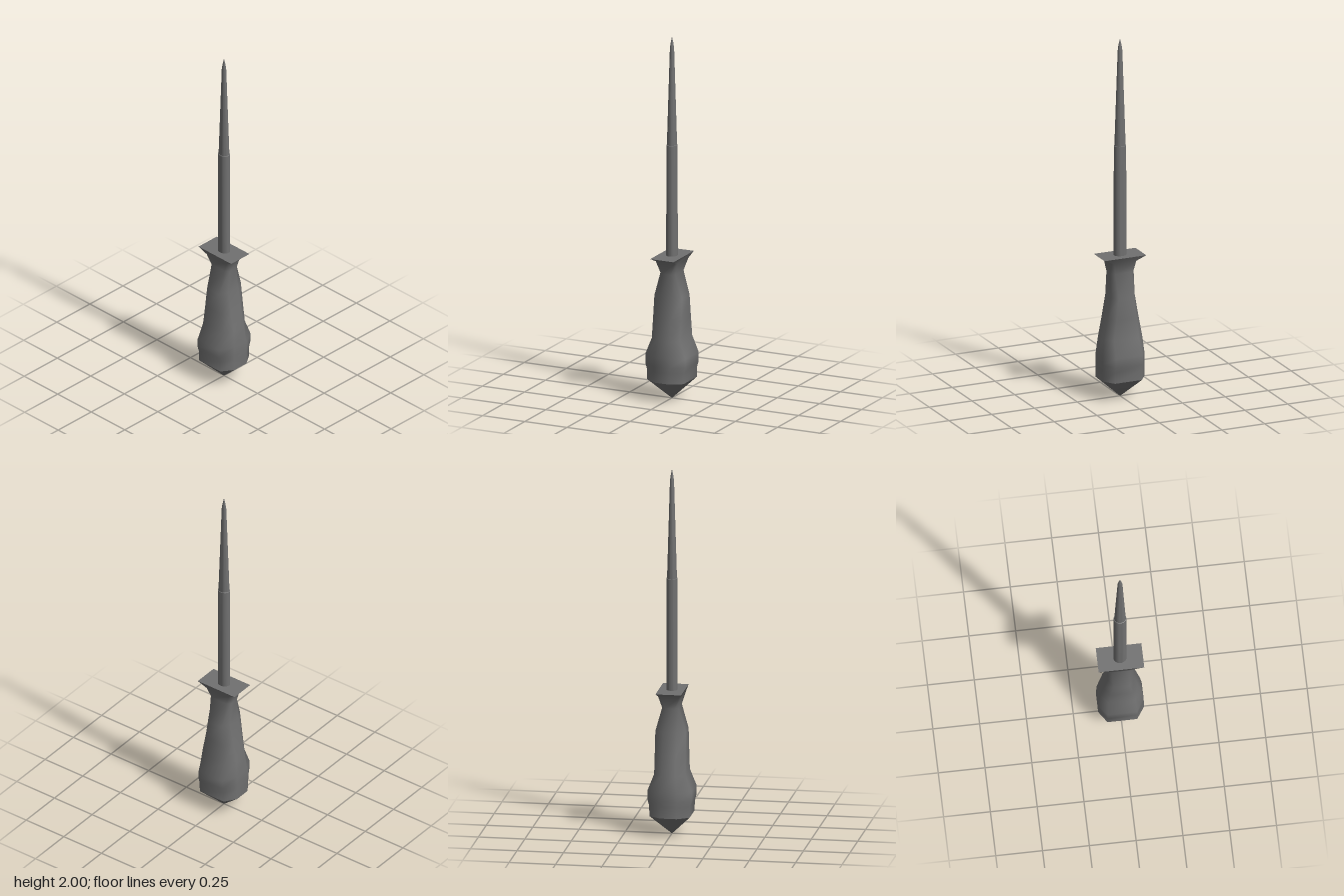
import * as THREE from 'three';
import { toCreasedNormals } from 'three/addons/utils/BufferGeometryUtils.js';

const material = new THREE.MeshStandardMaterial({ color: 0x707070 });

// Chamfered rectangle: half sizes hx, hz; cx, cz are where the flats end (1 = square corner)
function ring([y, hx, hz, cx, cz]) {
  const a = hx * cx, b = hz * cz;
  return [[hx, b], [a, hz], [-a, hz], [-hx, b], [-hx, -b], [-a, -hz], [a, -hz], [hx, -b]]
    .map(([x, z]) => [x, y, z]);
}

// Skin a stack of cross-sections, from bottom to top
function loft(sections) {
  const rings = sections.map(ring), position = [];
  const n = rings[0].length;
  for (let i = 0; i < rings.length - 1; i++) {
    for (let j = 0; j < n; j++) {
      const k = (j + 1) % n;
      const a = rings[i][j], b = rings[i][k], c = rings[i + 1][k], d = rings[i + 1][j];
      position.push(...a, ...d, ...b, ...b, ...d, ...c);
    }
  }
  const geometry = new THREE.BufferGeometry();
  geometry.setAttribute('position', new THREE.Float32BufferAttribute(position, 3));
  return toCreasedNormals(geometry, 1.3);
}

// Slightly oval turned part
function lathe(points) {
  const geometry = new THREE.LatheGeometry(points.map(([r, y]) => new THREE.Vector2(r, y)), 24);
  return toCreasedNormals(geometry.scale(1, 1, 0.85), 0.5);
}

export function createModel() {
  const model = new THREE.Group();
  const add = (name, geometry) => {
    const mesh = new THREE.Mesh(geometry, material);
    mesh.name = name;
    model.add(mesh);
  };

  // Grip: swelling below, narrow neck, then flaring out into the guard
  add('handle', loft([
    [0.11, 0.122, 0.108, 0.65, 0.42],
    [0.17, 0.122, 0.110, 0.65, 0.40],
    [0.20, 0.122, 0.119, 0.65, 0.38],
    [0.25, 0.121, 0.119, 0.65, 0.38],
    [0.34, 0.111, 0.084, 0.65, 0.45],
    [0.45, 0.090, 0.083, 0.65, 0.45],
    [0.57, 0.069, 0.082, 0.65, 0.45],
    [0.70, 0.068, 0.045, 0.70, 0.55],
    [0.765, 0.073, 0.064, 0.90, 0.80],
    [0.79, 0.122, 0.069, 1, 1],
  ]));

  // Pointed butt of the handle
  add('pommel', loft([
    [0, 0.0005, 0.0005, 0.65, 0.42],
    [0.11, 0.122, 0.108, 0.65, 0.42],
  ]));

  // Flat top of the guard
  add('guardTop', new THREE.PlaneGeometry(0.244, 0.138).rotateX(-Math.PI / 2).translate(0, 0.79, 0));

  // Shaft, then the tapered spike
  add('shaft', lathe([[0.035, 0.78], [0.034, 1.4], [0.030, 1.402]]));
  add('spike', lathe([[0.031, 1.4], [0.013, 1.93], [0.009, 1.96], [0, 2]]));

  return model;
}
